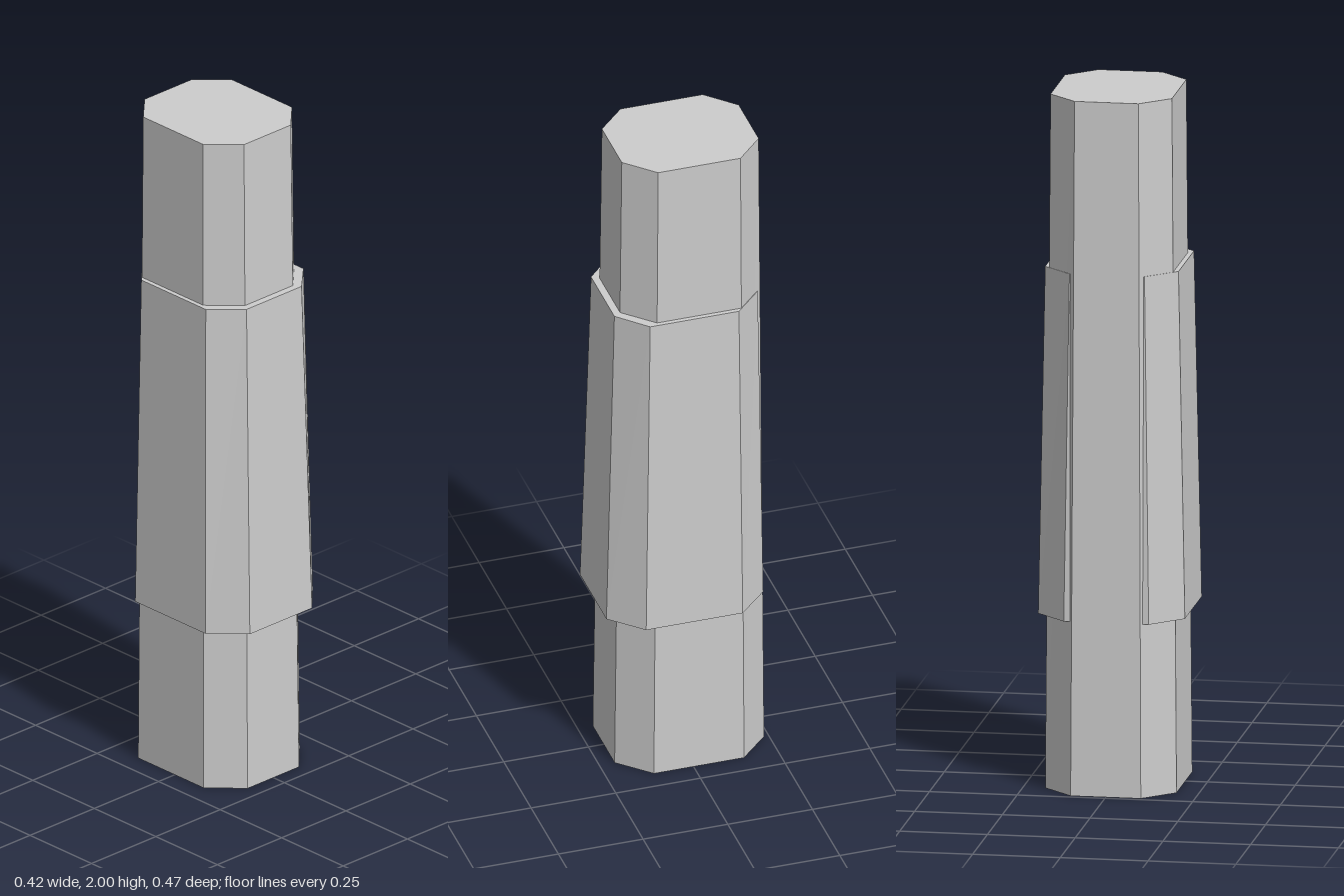
import * as THREE from 'three';

// Chamfered eight-sided outline, counter-clockwise seen from below.
// w: half width, f: half front flat, b: half back flat,
// zf/zb: front and back faces, sf/sb: ends of the side flat
function ring(y, { w, f, b, zf, zb, sf, sb }) {
  const right = [[f, zf], [w, sf], [w, sb], [b, zb]];
  const left = right.map(([x, z]) => [-x, z]).reverse();
  return [...right, ...left].map(([x, z]) => new THREE.Vector3(x, y, z));
}

// Tapered solid between two outlines, with both ends capped
function taperedPrism(bottom, top) {
  const pos = [];
  const tri = (...corners) => corners.forEach((v) => pos.push(v.x, v.y, v.z));
  const n = bottom.length;
  for (let i = 0; i < n; i++) {
    const j = (i + 1) % n;
    tri(bottom[i], bottom[j], top[j]);
    tri(bottom[i], top[j], top[i]);
    if (i > 0 && i < n - 1) {
      tri(top[0], top[i], top[j]);
      tri(bottom[0], bottom[j], bottom[i]);
    }
  }
  const geo = new THREE.BufferGeometry();
  geo.setAttribute('position', new THREE.Float32BufferAttribute(pos, 3));
  geo.computeVertexNormals();
  return geo;
}

export function createModel() {
  const group = new THREE.Group();
  group.name = 'steppedPillar';
  const grey = new THREE.MeshStandardMaterial({ color: 0xcccccc });
  grey.name = 'light grey';

  const add = (name, bottom, top) => {
    const mesh = new THREE.Mesh(taperedPrism(bottom, top), grey);
    mesh.name = name;
    group.add(mesh);
  };

  // Full-height core
  add('core',
    ring(0, { w: 0.187, f: 0.1, b: 0.1, zf: 0.205, zb: -0.236, sf: 0.117, sb: -0.149 }),
    ring(2, { w: 0.173, f: 0.091, b: 0.091, zf: 0.181, zb: -0.223, sf: 0.1, sb: -0.143 }));

  // Thicker sleeve around the front and sides, its back sunk into the core
  add('sleeve',
    ring(0.5, { w: 0.209, f: 0.121, b: 0.121, zf: 0.236, zb: -0.227, sf: 0.147, sb: -0.138 }),
    ring(1.5, { w: 0.19, f: 0.107, b: 0.107, zf: 0.208, zb: -0.215, sf: 0.129, sb: -0.133 }));

  return group;
}
